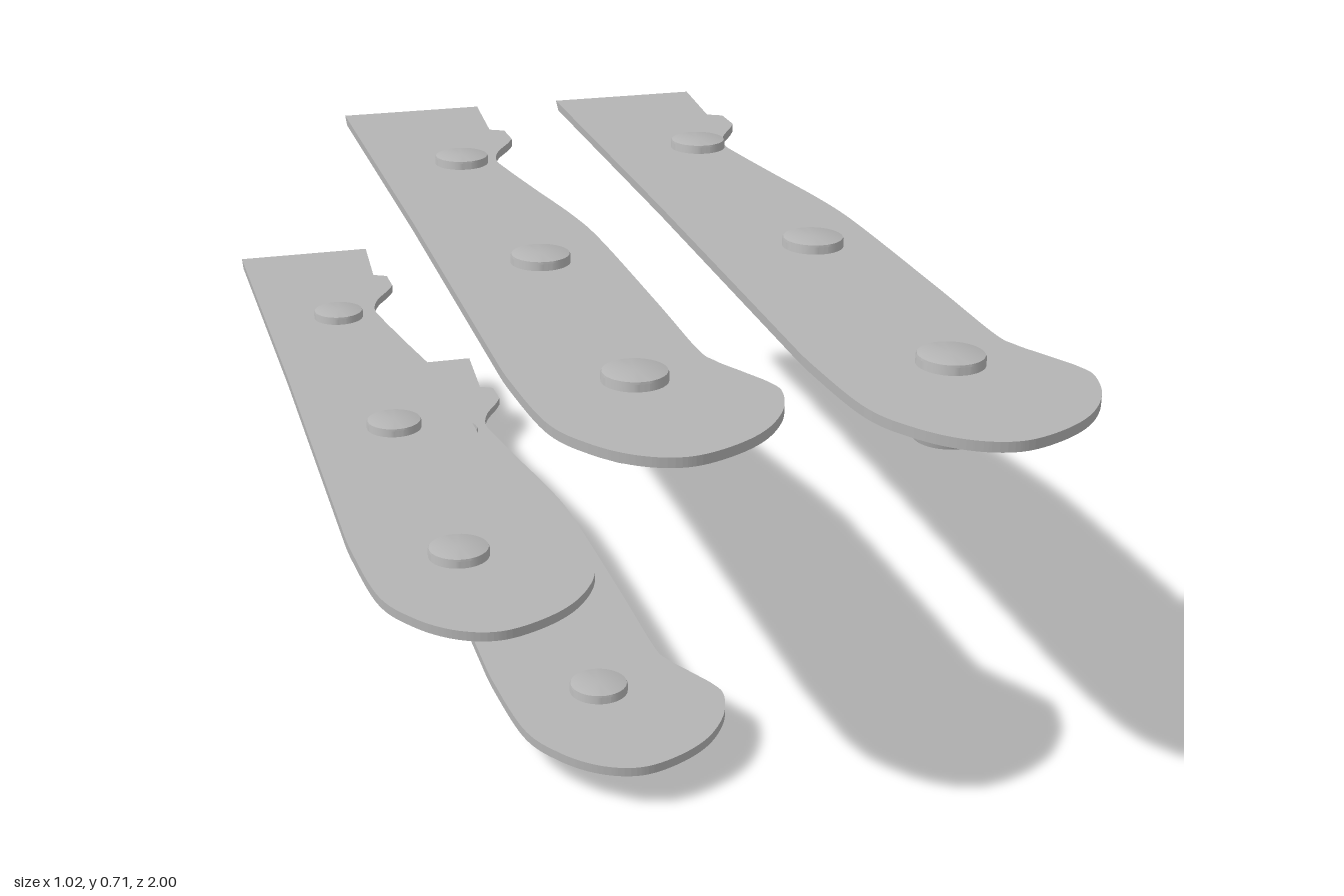
import * as THREE from 'three';
import { toCreasedNormals } from 'three/addons/utils/BufferGeometryUtils.js';

const steel = new THREE.MeshStandardMaterial({ color: 0xb4b4b4 });
steel.name = 'grey steel';

const THICK = 0.0155;

// Flat handle plate: straight tip with a notch, curved grip, rounded butt.
// x runs across the plate, z from the tip (0) to the butt (1.88).
function plateGeometry() {
  const grip = [
    [0.31, 0.265], [0.294, 0.296], [0.262, 0.35], [0.246, 0.407], [0.251, 0.47],
    [0.272, 0.62], [0.297, 0.79], [0.307, 0.94], [0.307, 1.28], [0.305, 1.49],
    [0.315, 1.545], [0.341, 1.6], [0.364, 1.65], [0.37, 1.69], [0.347, 1.757],
    [0.299, 1.82], [0.235, 1.862], [0.167, 1.88], [0.103, 1.857], [0.05, 1.8],
    [0.013, 1.714], [0, 1.545], [0, 1.44],
  ].map(([x, z]) => new THREE.Vector2(x, -z));

  const shape = new THREE.Shape();
  shape.moveTo(0.02, 0);
  shape.lineTo(0.013, -0.75);
  shape.lineTo(0, -1.44);
  grip.reverse();
  shape.splineThru(grip.slice(1));
  shape.lineTo(0.31, -0.2);
  shape.lineTo(0.283, -0.185);
  shape.lineTo(0.299, 0);
  shape.closePath();

  const geo = new THREE.ExtrudeGeometry(shape, { depth: THICK, bevelEnabled: false, curveSegments: 72 });
  geo.rotateX(-Math.PI / 2).translate(0, -THICK / 2, 0);

  // Ground bevel: pull the underside in along the tip and the notch
  const p = geo.attributes.position;
  for (let i = 0; i < p.count; i++) {
    if (p.getY(i) > 0 || p.getZ(i) > 0.19) continue;
    if (p.getX(i) > 0.2) p.setX(i, p.getX(i) - 0.018);
    if (p.getZ(i) < 0.01) p.setZ(i, p.getZ(i) + 0.02);
  }
  return toCreasedNormals(geo, 0.5);
}

// Rivet disc with a small rounded outer rim
function rivetGeometry() {
  const h = 0.0078;
  const profile = [[0, -h], [0.049, -h], [0.049, h - 0.004], [0.0475, h - 0.001], [0.045, h], [0, h]]
    .map(([r, y]) => new THREE.Vector2(r, y));
  return toCreasedNormals(new THREE.LatheGeometry(profile, 40), 0.5);
}

export function createModel() {
  const model = new THREE.Group();
  model.name = 'handlePlates';
  const plateGeo = plateGeometry();
  const rivetGeo = rivetGeometry();

  // left edge x, height, tip z, length
  const layout = [
    [-0.283, 0.06, -1.0, 1.72],
    [-0.51, 0.35, -0.932, 1.717],
    [-0.295, 0.647, -0.882, 1.812],
    [0.137, 0.648, -0.88, 1.88],
  ];
  layout.forEach(([x, y, z, length], n) => {
    const handle = new THREE.Group();
    handle.name = `handle${n + 1}`;
    handle.position.set(x, y, z);
    handle.scale.setScalar(length / 1.88);

    const plate = new THREE.Mesh(plateGeo, steel);
    plate.name = 'plate';
    handle.add(plate);

    // Three rivet discs floating above and below the plate
    for (const rz of [0.54, 1.141, 1.686]) {
      for (const side of [1, -1]) {
        const rivet = new THREE.Mesh(rivetGeo, steel);
        rivet.name = side > 0 ? 'upperRivet' : 'lowerRivet';
        rivet.position.set(0.149, side * 0.0555, rz);
        if (side < 0) rivet.rotation.x = Math.PI;
        handle.add(rivet);
      }
    }
    model.add(handle);
  });
  return model;
}
